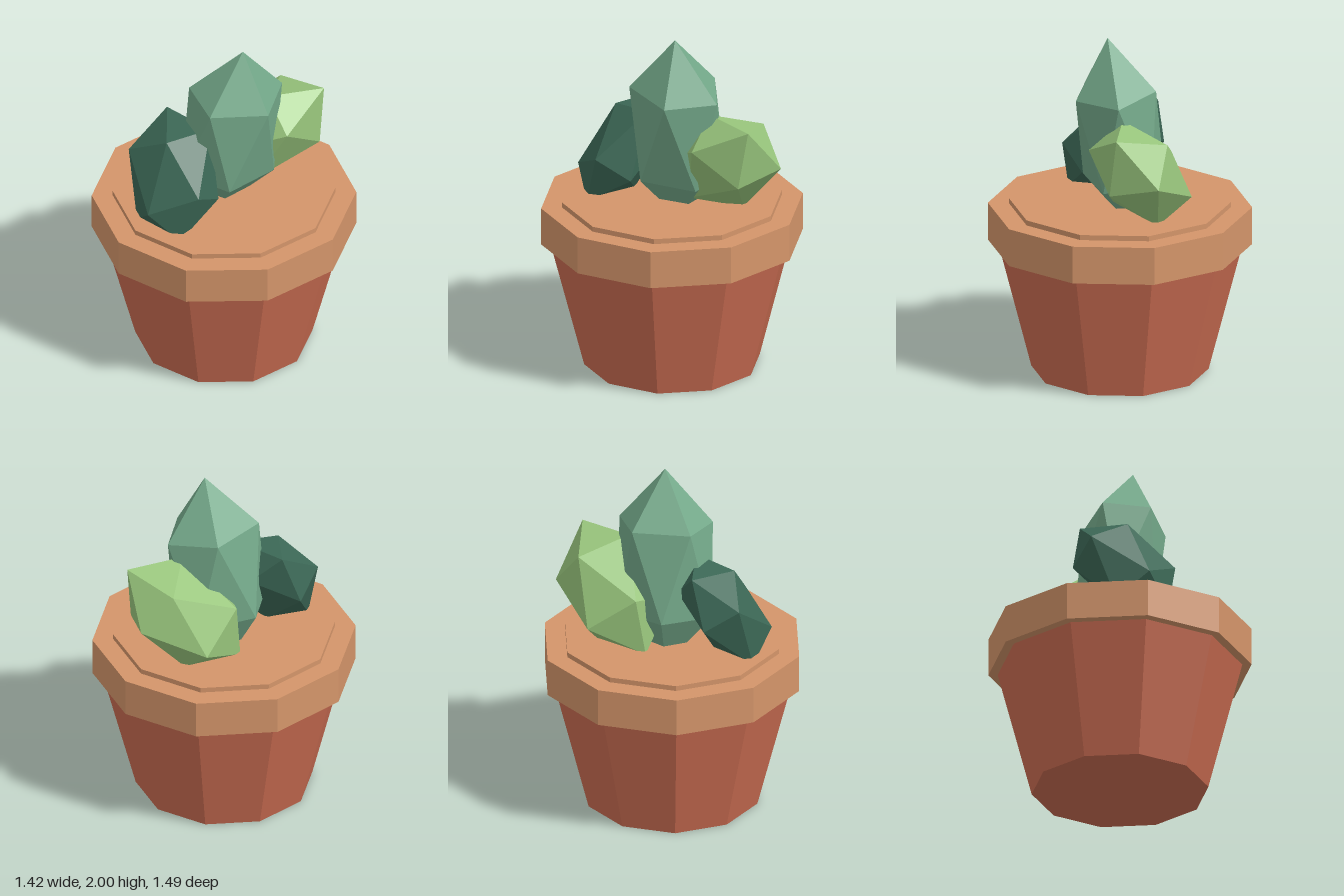
import * as THREE from 'three';
import { ConvexGeometry } from 'three/addons/geometries/ConvexGeometry.js';

const paint = (name, color) => {
  const m = new THREE.MeshStandardMaterial({ color, flatShading: true });
  m.name = name;
  return m;
};

export function createModel() {
  const group = new THREE.Group();
  const terracotta = paint('terracotta', 0xcb6d52);
  const clay = paint('light clay', 0xd4956a);

  const add = (name, geometry, material) => {
    const mesh = new THREE.Mesh(geometry, material);
    mesh.name = name;
    group.add(mesh);
  };

  // Ten-sided pot parts, stacked from y0 to y1
  const ring = (name, rBottom, rTop, y0, y1, material) => {
    const g = new THREE.CylinderGeometry(rTop, rBottom, y1 - y0, 10);
    g.translate(0, (y0 + y1) / 2, 0);
    add(name, g, material);
  };
  ring('potBody', 0.5, 0.692, 0, 0.75, terracotta);
  ring('potRim', 0.745, 0.745, 0.75, 0.97, clay);
  ring('soilDisc', 0.627, 0.627, 0.96, 1.0, clay);

  // Faceted cactus: a skewed icosahedron from six corners, mirrored through its centre
  const cactus = (name, centre, corners, material) => {
    const c = new THREE.Vector3(...centre);
    const points = corners.flatMap((p) => {
      const v = new THREE.Vector3(...p);
      return [v, c.clone().multiplyScalar(2).sub(v)];
    });
    add(name, new ConvexGeometry(points), material);
  };

  cactus('tallCactus', [0.045, 1.42, 0], [
    [0.09, 2.0, 0.065], [0.13, 1.7, -0.21], [-0.18, 1.71, -0.08],
    [-0.15, 1.68, 0.19], [0.18, 1.65, 0.24], [0.35, 1.66, -0.01],
  ], paint('sage green', 0x74a98a));

  cactus('darkCactus', [-0.32, 1.23, 0.055], [
    [-0.37, 1.48, 0.08], [-0.53, 1.11, 0.22], [-0.53, 1.34, -0.11],
    [-0.27, 1.51, -0.2], [-0.11, 1.51, 0.08], [-0.27, 1.24, 0.34],
  ], paint('dark green', 0x3c6856));

  cactus('lightCactus', [0.305, 1.27, -0.13], [
    [0.62, 1.28, -0.25], [0.6, 1.56, -0.01], [0.44, 1.49, -0.29],
    [0.29, 1.13, -0.42], [0.34, 0.97, -0.23], [0.56, 1.22, 0.03],
  ], paint('light green', 0x98c57c));

  return group;
}
